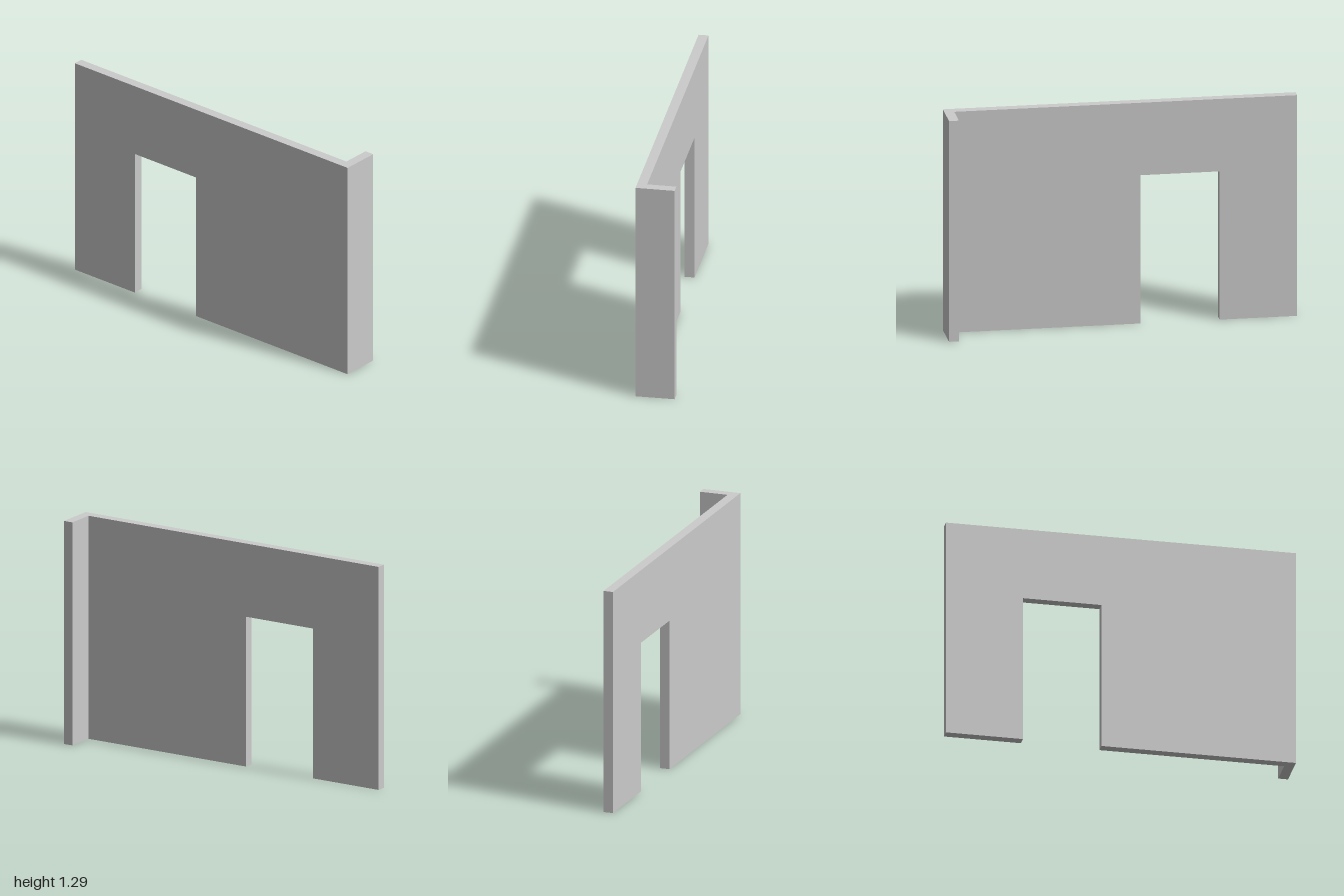
import * as THREE from 'three';

const HEIGHT = 1.295, THICK = 0.056, FRONT = 0.111, BACK = -0.111;
const DOOR = { left: -0.56, right: -0.112, top: 0.87 };

export function createModel() {
  const group = new THREE.Group();
  group.name = 'wallWithDoorway';
  const material = new THREE.MeshStandardMaterial({ color: 0xcccccc, flatShading: true });

  const add = (name, geometry) => {
    const mesh = new THREE.Mesh(geometry, material);
    mesh.name = name;
    group.add(mesh);
    return mesh;
  };

  // Main wall: outline notched by the doorway, which is open to the floor
  const outline = new THREE.Shape([
    [-1, 0], [DOOR.left, 0], [DOOR.left, DOOR.top], [DOOR.right, DOOR.top],
    [DOOR.right, 0], [1, 0], [1, HEIGHT], [-1, HEIGHT],
  ].map(([x, y]) => new THREE.Vector2(x, y)));
  const wall = add('mainWall', new THREE.ExtrudeGeometry(outline, { depth: THICK, bevelEnabled: false }));
  wall.position.z = FRONT - THICK;

  // Short return wall behind the left end, butted against the main wall
  const depth = FRONT - THICK - BACK;
  const returnWall = add('returnWall', new THREE.BoxGeometry(THICK, HEIGHT, depth));
  returnWall.position.set(1 - THICK / 2, HEIGHT / 2, BACK + depth / 2);

  return group;
}
